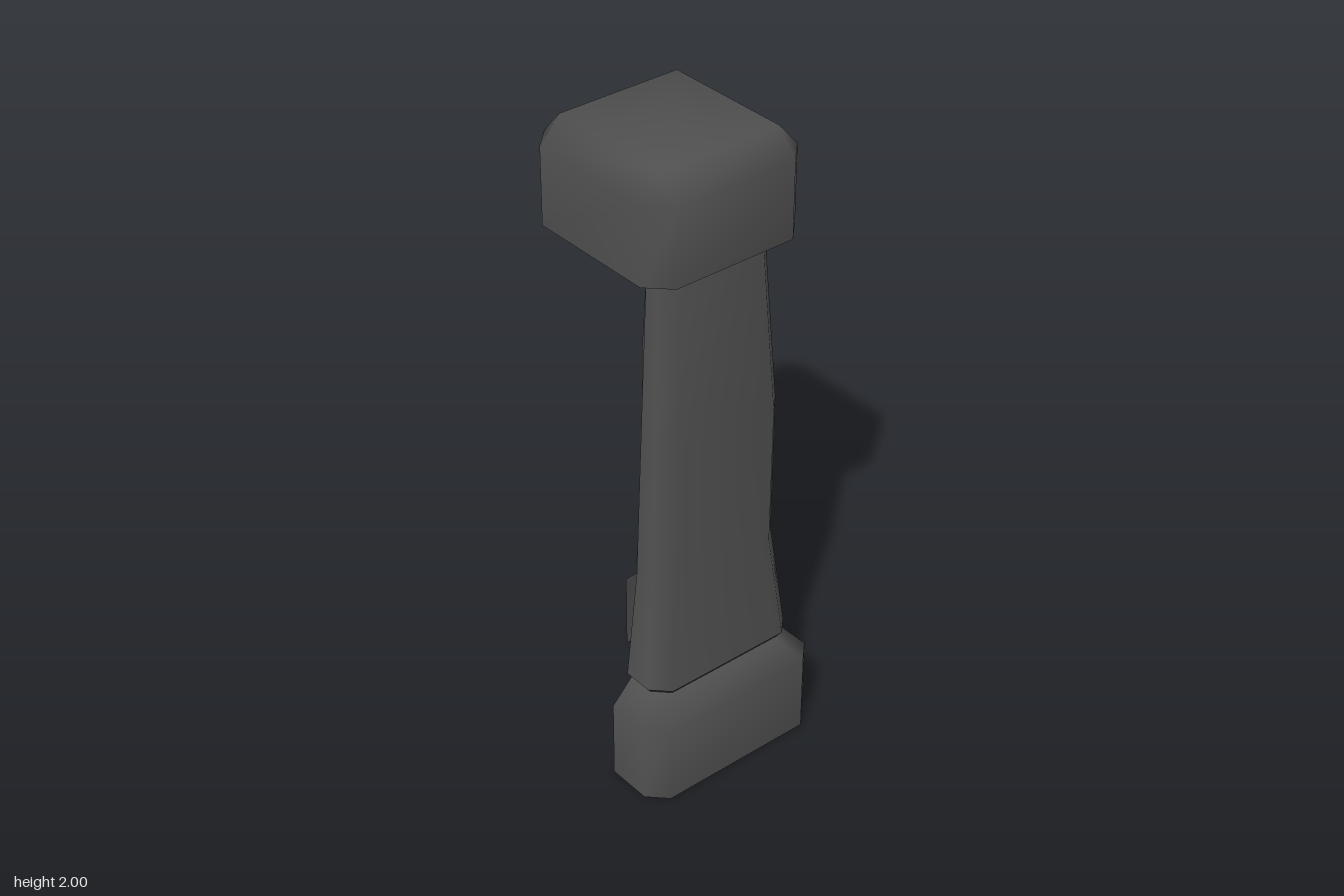
import * as THREE from 'three';
import { mergeVertices } from 'three/addons/utils/BufferGeometryUtils.js';

const stone = new THREE.MeshStandardMaterial({ color: 0x505050, side: THREE.DoubleSide });
stone.name = 'dark stone';

// Open L-shaped section wrapping three corners; the back corner at -x is missing.
function openRing([y, x0, x1, z0, z1, c]) {
  return [
    [x0, y, 0.12], [x0, y, z1 - c], [x0 + c, y, z1], [x1 - c, y, z1],
    [x1, y, z1 - c], [x1, y, z0 + c], [x1 - c, y, z0], [0.09, y, z0],
  ];
}

// Closed square section with cut corners.
function closedRing([y, x0, x1, z0, z1, c]) {
  return [
    [x0, y, z0 + c], [x0, y, z1 - c], [x0 + c, y, z1], [x1 - c, y, z1],
    [x1, y, z1 - c], [x1, y, z0 + c], [x1 - c, y, z0], [x0 + c, y, z0], [x0, y, z0 + c],
  ];
}

// Skins sections from bottom to top with smooth normals.
function loft(name, ringOf, sections) {
  const rings = sections.map(ringOf);
  const n = rings[0].length;
  const index = [];
  for (let r = 0; r < rings.length - 1; r++) {
    for (let i = 0; i < n - 1; i++) {
      const a = r * n + i, b = a + 1, d = a + n, e = b + n;
      index.push(a, b, e, a, e, d);
    }
  }
  let geometry = new THREE.BufferGeometry();
  geometry.setAttribute('position', new THREE.Float32BufferAttribute(rings.flat(2), 3));
  geometry.setIndex(index);
  geometry = mergeVertices(geometry, 1e-4);
  geometry.computeVertexNormals();
  const mesh = new THREE.Mesh(geometry, stone);
  mesh.name = name;
  return mesh;
}

export function createModel() {
  const group = new THREE.Group();
  group.name = 'broken pillar';

  // Sections: height, x min, x max, z min, z max, corner cut
  group.add(loft('base', openRing, [
    [0, -0.31, 0.308, -0.318, 0.316, 0.055],
    [0.255, -0.31, 0.308, -0.318, 0.316, 0.055],
    [0.328, -0.24, 0.242, -0.25, 0.25, 0.045],
  ]));

  group.add(loft('shaftLip', openRing, [
    [0.328, -0.24, 0.242, -0.25, 0.25, 0.045],
    [0.348, -0.256, 0.26, -0.267, 0.265, 0.05],
  ]));

  group.add(loft('shaft', openRing, [
    [0.348, -0.256, 0.26, -0.267, 0.265, 0.05],
    [0.69, -0.218, 0.225, -0.23, 0.236, 0.05],
    [1.13, -0.2, 0.237, -0.232, 0.228, 0.05],
    [1.69, -0.176, 0.197, -0.188, 0.204, 0.045],
  ]));

  // Cap with bevelled upper edges
  const rim = [1.69, -0.265, 0.265, -0.275, 0.27, 0.066];
  group.add(loft('cap', closedRing, [
    rim,
    [1.927, ...rim.slice(1)],
    [2, -0.199, 0.199, -0.209, 0.204, 0],
    [2, 0, 0, 0, 0, 0],
  ]));
  group.add(loft('capUnderside', closedRing, [[1.69, 0, 0, 0, 0, 0], rim]));

  return group;
}
